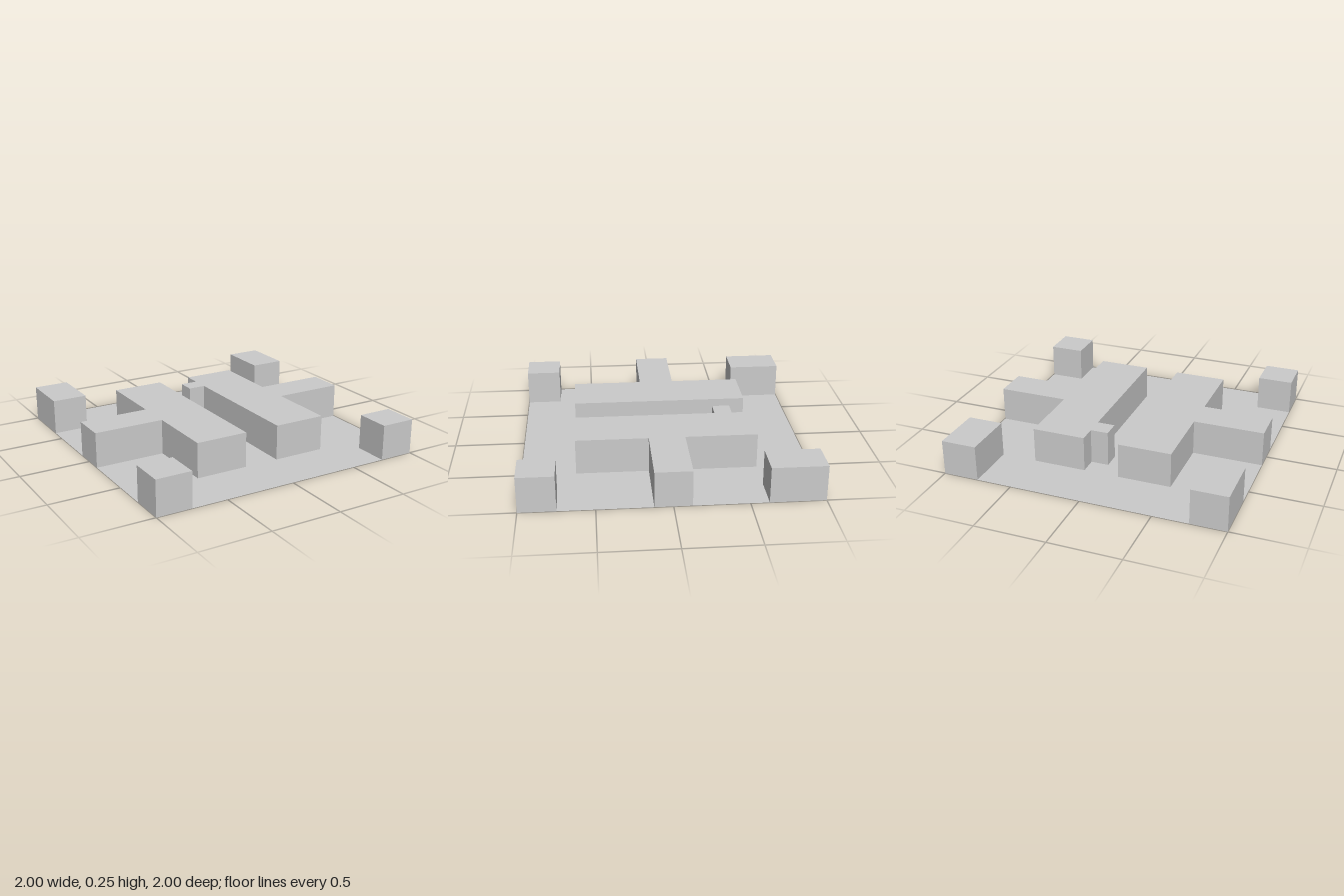
import * as THREE from 'three';
import { mergeGeometries } from 'three/addons/utils/BufferGeometryUtils.js';

const HEIGHT = 0.25;

// Plan outlines as [x, -z]. Each path runs clockwise around a block, from one
// point on the floor's rim to another; corner closes it at the floor's corner.
const BLOCKS = [
  { name: 'frontRightCornerBlock', path: [[-1, -0.75], [-0.75, -0.75], [-0.75, -1]], corner: [[-1, -1]] },
  { name: 'frontLeftCornerBlock', path: [[0.75, -1], [0.75, -0.75], [1, -0.75]], corner: [[1, -1]] },
  {
    name: 'leftCentreBlock',
    path: [[1, -0.125], [0.5, -0.125], [0.5, -0.625], [0.125, -0.625], [0.125, 0.375], [0, 0.375],
      [0, 0.5], [0.125, 0.5], [0.125, 0.625], [0.5, 0.625], [0.5, 0.125], [1, 0.125]],
    corner: [],
  },
  { name: 'backLeftCornerBlock', path: [[1, 0.625], [0.75, 0.625], [0.75, 1]], corner: [[1, 1]] },
  { name: 'backRightCornerBlock', path: [[-0.75, 1], [-0.75, 0.625], [-1, 0.625]], corner: [[-1, 1]] },
  {
    name: 'rightCentreBlock',
    path: [[-1, 0.125], [-0.5, 0.125], [-0.5, 0.625], [-0.125, 0.625],
      [-0.125, -0.625], [-0.5, -0.625], [-0.5, -0.125], [-1, -0.125]],
    corner: [],
  },
];

// Flat horizontal sheet, facing up
function sheet(points, y) {
  const shape = new THREE.Shape(points.map(([x, v]) => new THREE.Vector2(x, v)));
  return new THREE.ShapeGeometry(shape).rotateX(-Math.PI / 2).translate(0, y, 0).toNonIndexed();
}

// Upright wall between two plan points, facing out of the block
function wall([ax, av], [bx, bv]) {
  const dx = ax - bx, dz = bv - av;
  return new THREE.PlaneGeometry(Math.hypot(dx, dz), HEIGHT)
    .rotateY(Math.atan2(-dz, dx))
    .translate((ax + bx) / 2, HEIGHT / 2, -(av + bv) / 2)
    .toNonIndexed();
}

export function createModel() {
  const group = new THREE.Group();
  group.name = 'floorWithBlocks';
  const material = new THREE.MeshStandardMaterial({ color: 0xcccccc, side: THREE.DoubleSide });

  const add = (name, geometry) => {
    const mesh = new THREE.Mesh(geometry, material);
    mesh.name = name;
    group.add(mesh);
  };

  // Thin floor, cut away under every block
  add('floor', sheet(BLOCKS.flatMap((b) => b.path), 0));

  // Hollow blocks, open underneath
  for (const { name, path, corner } of BLOCKS) {
    const outline = [...path, ...corner];
    const walls = outline.map((p, i) => wall(p, outline[(i + 1) % outline.length]));
    add(name, mergeGeometries([sheet(outline, HEIGHT), ...walls]));
  }
  return group;
}
